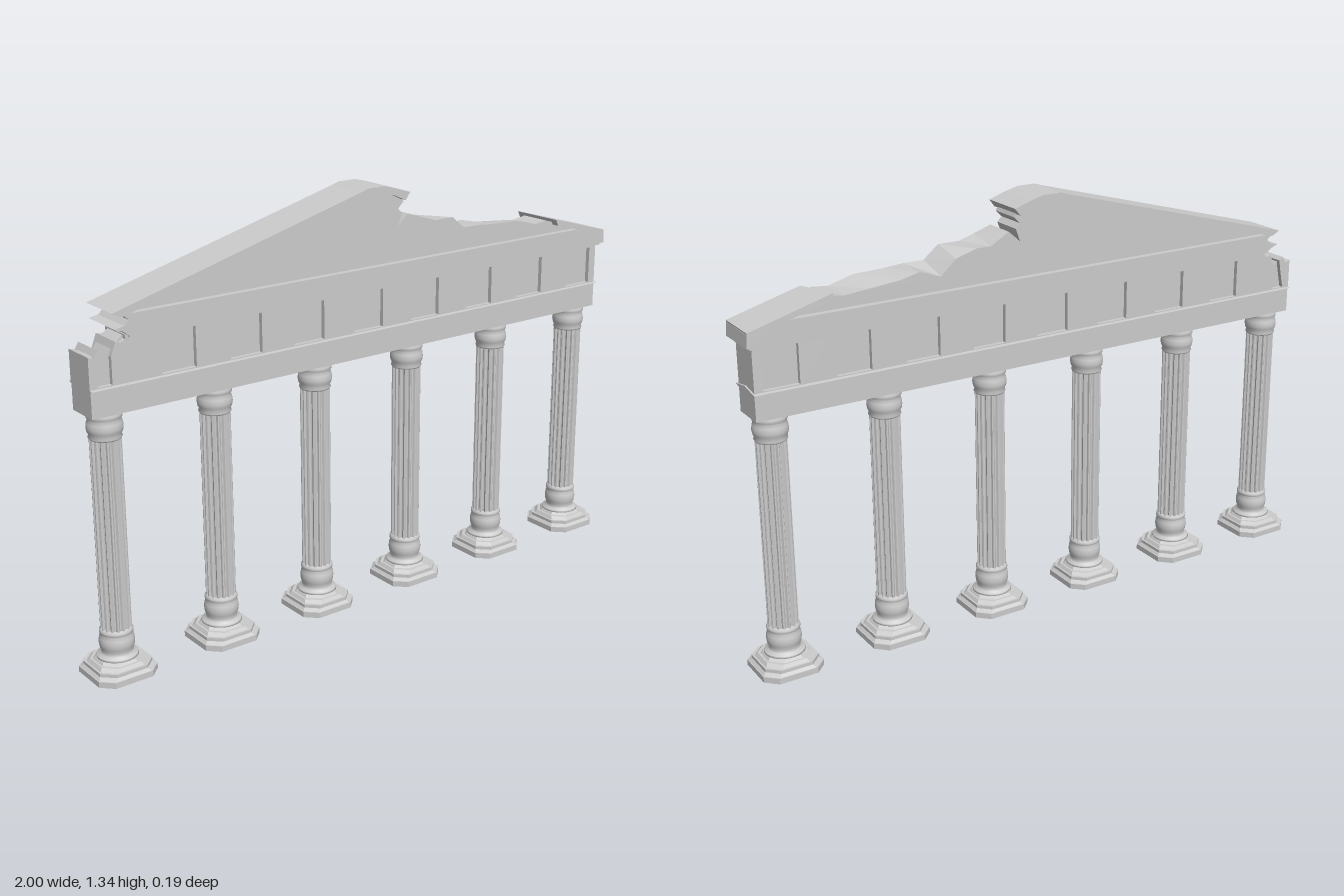
import * as THREE from 'three';

const material = new THREE.MeshStandardMaterial({ color: 0xcccccc, flatShading: true });
const smooth = new THREE.MeshStandardMaterial({ color: 0xcccccc, side: THREE.DoubleSide });

function part(name, geometry, parent, mat = material) {
  const mesh = new THREE.Mesh(geometry, mat);
  mesh.name = name;
  parent.add(mesh);
  return mesh;
}

function box(name, x0, x1, y0, y1, halfZ, parent) {
  const g = new THREE.BoxGeometry(x1 - x0, y1 - y0, halfZ * 2);
  g.translate((x0 + x1) / 2, (y0 + y1) / 2, 0);
  return part(name, g, parent);
}

// Front outline given as [x, y] pairs, extruded evenly about z = 0
function slab(outline, halfZ) {
  const shape = new THREE.Shape(outline.map(([x, y]) => new THREE.Vector2(x, y)));
  const g = new THREE.ExtrudeGeometry(shape, { depth: halfZ * 2, bevelEnabled: false });
  return g.translate(0, 0, -halfZ);
}

// Square plinth step with cut corners; bottom and top half-widths differ
function plinthStep(bottom, top, y0, y1) {
  const g = new THREE.CylinderGeometry(top, bottom, y1 - y0, 8, 1);
  const p = g.attributes.position;
  for (let i = 0; i < p.count; i++) {
    const x = p.getX(i), z = p.getZ(i);
    if (Math.hypot(x, z) < 1e-6) continue;
    const half = p.getY(i) > 0 ? top : bottom;
    const k = Math.round((Math.atan2(z, x) / Math.PI) * 4 + 8) % 8;
    const cut = half - 0.036;
    // each side of the square carries two of the eight corners
    const corners = [[half, -cut], [half, cut], [cut, half], [-cut, half],
      [-half, cut], [-half, -cut], [-cut, -half], [cut, -half]];
    p.setX(i, corners[k][0]);
    p.setZ(i, corners[k][1]);
  }
  g.translate(0, (y0 + y1) / 2, 0);
  return g;
}

// Shaft with 16 flutes, four facets per flute
function flutedShaft(y0, y1) {
  const g = new THREE.CylinderGeometry(1, 1, y1 - y0, 64, 1, true);
  const p = g.attributes.position;
  for (let i = 0; i < p.count; i++) {
    const step = Math.round((Math.atan2(p.getX(i), p.getZ(i)) / (Math.PI * 2)) * 64 + 64) % 4;
    const r = step < 2 ? 0.046 : 0.04;
    p.setX(i, p.getX(i) * r);
    p.setZ(i, p.getZ(i) * r);
  }
  return g.translate(0, (y0 + y1) / 2, 0);
}

// Turned drum from a [radius, y] profile
const turned = (profile) =>
  new THREE.LatheGeometry(profile.map(([r, y]) => new THREE.Vector2(r, y)), 32);

function column(x) {
  const group = new THREE.Group();
  group.name = 'column';
  group.position.x = x;
  [[0.097, 0.097, 0, 0.018], [0.094, 0.086, 0.018, 0.026], [0.086, 0.086, 0.026, 0.036],
    [0.08, 0.073, 0.036, 0.046], [0.066, 0.06, 0.046, 0.054]]
    .forEach((s) => part('plinthStep', plinthStep(...s), group));
  part('columnBase', turned([[0.055, 0.05], [0.062, 0.054], [0.06, 0.06], [0.049, 0.064],
    [0.046, 0.074], [0.051, 0.085], [0.053, 0.1], [0.051, 0.115], [0.046, 0.126],
    [0.05, 0.13], [0.05, 0.138], [0.045, 0.144], [0.04, 0.144]]), group, smooth);
  part('shaft', flutedShaft(0.14, 0.735), group);
  part('capital', turned([[0.04, 0.728], [0.046, 0.728], [0.049, 0.733], [0.046, 0.74],
    [0.051, 0.75], [0.053, 0.762], [0.051, 0.776], [0.047, 0.786],
    [0.051, 0.792], [0.051, 0.8], [0.047, 0.812]]), group, smooth);
  return group;
}

export function createModel() {
  const model = new THREE.Group();
  model.name = 'ruinedColonnade';

  for (let i = 0; i < 6; i++) model.add(column(-0.903 + i * 0.3612));

  // Architrave with a pointed moulding along its top
  box('architrave', -0.968, 0.965, 0.808, 0.895, 0.055, model);
  const moulding = new THREE.CylinderGeometry(0.5, 0.5, 1.94, 4);
  moulding.rotateZ(Math.PI / 2);
  moulding.scale(1, 0.022, 0.134);
  part('architraveMoulding', moulding.translate(0, 0.89, 0), model);

  // Recessed frieze wall, crumbled at its right-hand end
  part('friezeWall', slab([[-0.965, 0.89], [0.945, 0.89], [0.945, 1.03], [-0.85, 1.03],
    [-0.885, 1.005], [-0.91, 0.97], [-0.935, 0.99], [-0.965, 0.975]], 0.041), model);

  // Raised blocks between the recessed panels
  const period = 0.224;
  for (let i = 0; i < 8; i++) {
    const x = 0.77 - i * period;
    box('friezeBlock', x - 0.057, x + 0.057, 0.89, 1.03, 0.055, model);
  }
  box('friezeCornerBlock', 0.937, 0.965, 0.89, 1.03, 0.055, model);
  box('friezeTopBand', -0.85, 0.965, 1.016, 1.032, 0.056, model);
  part('brokenFriezeBlock', slab([[-0.97, 0.89], [-0.945, 0.89], [-0.932, 0.95], [-0.925, 0.99],
    [-0.94, 1.0], [-0.952, 0.98], [-0.97, 0.985]], 0.055), model);
  part('brokenFriezeShard', slab([[-0.9, 0.89], [-0.84, 0.89], [-0.84, 1.025],
    [-0.868, 1.01], [-0.885, 1.015], [-0.9, 0.975]], 0.055), model);

  // Horizontal cornice
  box('corniceSoffit', -0.845, 0.975, 1.022, 1.036, 0.064, model);
  part('cornice', slab([[-0.85, 1.03], [0.985, 1.03], [0.982, 1.07], [0.9, 1.092], [-0.87, 1.092],
    [-0.85, 1.075], [-0.865, 1.06], [-0.895, 1.055], [-0.87, 1.045]], 0.073), model);

  // Gable wall with a broken right slope; the crest undulates in depth
  const gable = slab([[-0.87, 1.085], [0.9, 1.085], [0.73, 1.135], [0.68, 1.13], [0.6, 1.152],
    [0.5, 1.155], [0.44, 1.16], [0.37, 1.16], [0.32, 1.2], [0.25, 1.2], [0.2, 1.215],
    [0.14, 1.235], [0.1, 1.2], [0.115, 1.24], [0.1, 1.255], [0.12, 1.275], [0.105, 1.305],
    [0.03, 1.325], [-0.03, 1.325], [-0.06, 1.315]], 0.052);
  const p = gable.attributes.position;
  for (let i = 0; i < p.count; i++) {
    const x = p.getX(i), y = p.getY(i);
    if (p.getZ(i) < 0 && x > 0.15 && x < 0.7 && y > 1.1) {
      p.setY(i, y - 0.014 + 0.014 * Math.sin(x * 31));
    }
  }
  gable.computeVertexNormals();
  part('gableWall', gable, model);

  // Surviving lengths of the sloping cornice
  part('longRakingCornice', slab([[-0.9, 1.1], [-0.87, 1.085], [-0.06, 1.304], [-0.03, 1.313],
    [0.03, 1.313], [0.07, 1.302], [0.112, 1.283], [0.13, 1.306], [0.07, 1.325],
    [0.03, 1.335], [-0.03, 1.335], [-0.06, 1.326]], 0.073), model);
  const stub = slab([[0.73, 1.126], [0.88, 1.085], [0.98, 1.06], [0.982, 1.075], [0.72, 1.147]], 0.073);
  const q = stub.attributes.position;
  for (let i = 0; i < q.count; i++) {
    if (q.getX(i) < 0.8 && q.getZ(i) > 0) {
      q.setX(i, q.getX(i) + 0.035);
      q.setY(i, q.getY(i) - 0.0097);
    }
  }
  stub.computeVertexNormals();
  part('shortRakingCornice', stub, model);

  return model;
}
